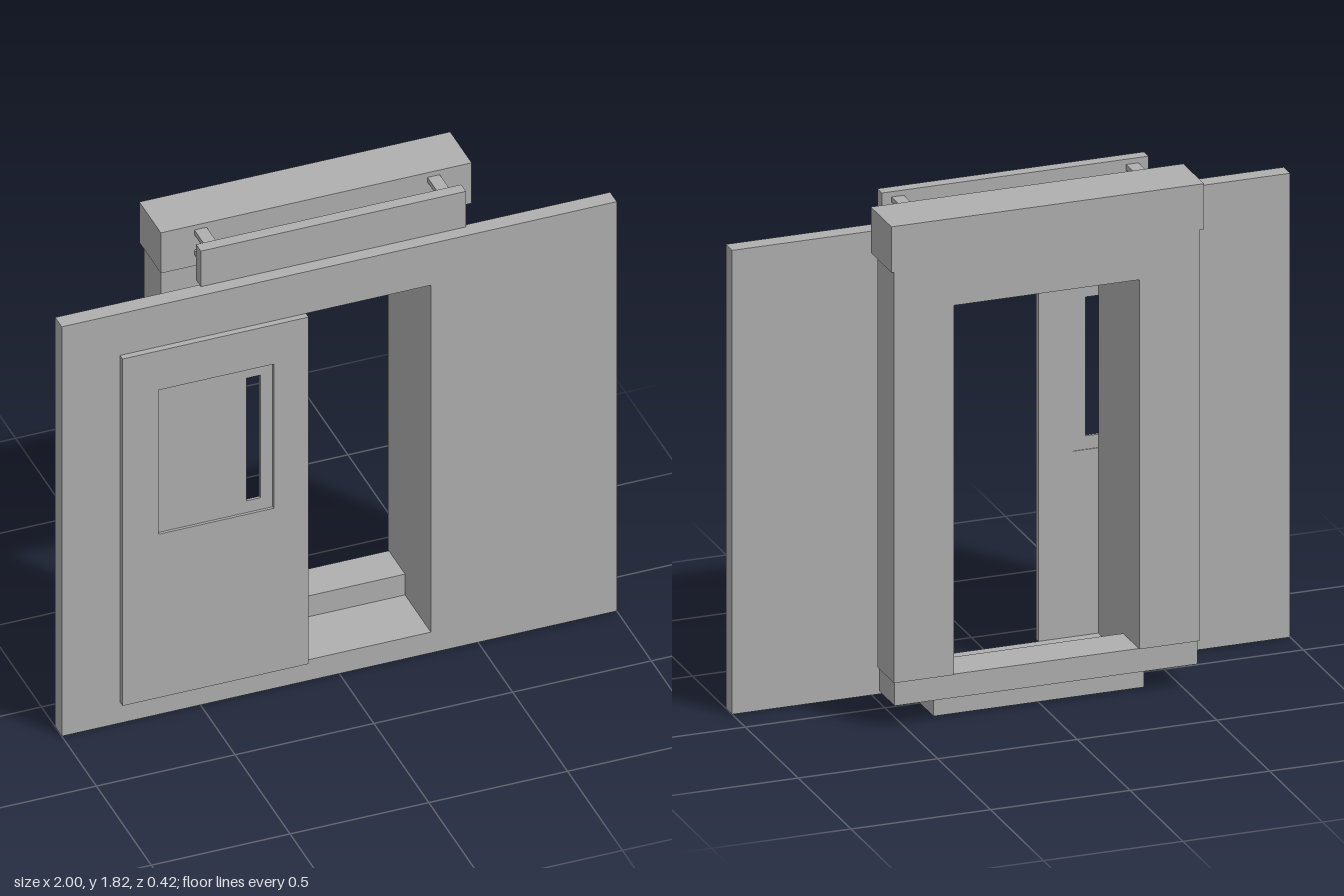
import * as THREE from 'three';

export function createModel() {
  const group = new THREE.Group();
  group.name = 'slidingDoorway';
  const grey = new THREE.MeshStandardMaterial({ color: 0xb0b0b0 });
  grey.name = 'plain grey';

  const add = (name, geometry) => {
    const mesh = new THREE.Mesh(geometry, grey);
    mesh.name = name;
    group.add(mesh);
  };

  // Solid block given by its limits on each axis
  const block = (name, x0, x1, y0, y1, z0, z1) => {
    const g = new THREE.BoxGeometry(x1 - x0, y1 - y0, z1 - z0);
    g.translate((x0 + x1) / 2, (y0 + y1) / 2, (z0 + z1) / 2);
    add(name, g);
  };

  // Upright plate with one rectangular hole; rectangles are [x0, x1, y0, y1]
  const trace = (path, [x0, x1, y0, y1]) => {
    path.moveTo(x0, y0);
    path.lineTo(x1, y0);
    path.lineTo(x1, y1);
    path.lineTo(x0, y1);
    path.closePath();
    return path;
  };
  const plate = (name, outer, hole, z0, z1) => {
    const shape = trace(new THREE.Shape(), outer);
    shape.holes.push(trace(new THREE.Path(), hole));
    const g = new THREE.ExtrudeGeometry(shape, { depth: z1 - z0, bevelEnabled: false });
    g.translate(0, 0, z0);
    add(name, g);
  };

  // Wall with the doorway
  plate('wall', [-1, 1, 0, 1.67], [-0.335, 0.33, 0.085, 1.5], 0.125, 0.185);

  // Half-open sliding door with a recessed panel and a sight slot
  plate('door', [-0.79, -0.12, 0.085, 1.5], [-0.66, -0.245, 0.752, 1.34], 0.185, 0.208);
  plate('doorPanel', [-0.66, -0.245, 0.752, 1.34], [-0.34, -0.29, 0.8, 1.3], 0.188, 0.198);

  // Passage between wall and rear frame, standing on its threshold
  plate('passage', [-0.38, 0.375, 0, 1.63], [-0.335, 0.33, 0.085, 1.5], -0.05, 0.125);
  block('threshold', -0.38, 0.375, 0, 0.085, -0.13, -0.05);

  // Rear frame: posts, lintel, sill and head beam
  block('framePost', -0.55, -0.335, 0.17, 1.65, -0.205, -0.05);
  block('framePost', 0.33, 0.545, 0.17, 1.65, -0.205, -0.05);
  block('frameLintel', -0.335, 0.33, 1.5, 1.65, -0.205, -0.05);
  block('frameSill', -0.545, 0.54, 0.085, 0.17, -0.198, -0.05);
  block('headBeam', -0.565, 0.555, 1.65, 1.815, -0.208, -0.012);

  // Rail plate above the wall, held by two pairs of brackets
  block('railPlate', -0.48, 0.475, 1.67, 1.815, 0.094, 0.137);
  for (const x of [-0.422, 0.418]) {
    for (const y of [1.705, 1.786]) {
      block('railBracket', x - 0.022, x + 0.022, y - 0.01, y + 0.01, -0.012, 0.094);
    }
  }
  return group;
}
